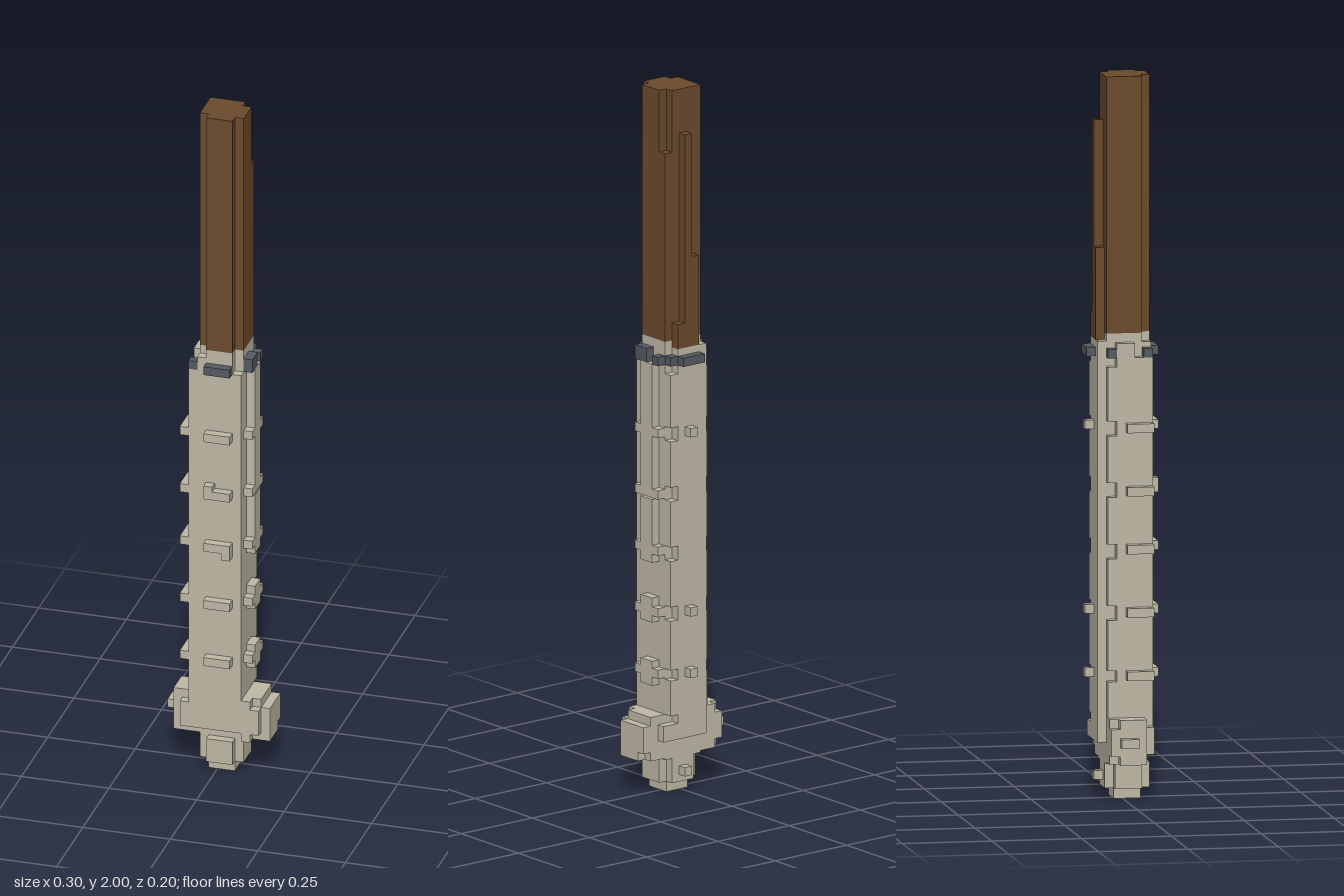
import * as THREE from 'three';

export function createModel() {
  const model = new THREE.Group();
  const mat = (name, color) => Object.assign(new THREE.MeshStandardMaterial({ color }), { name });
  const wood = mat('brown wood', 0x6b4a2d);
  const stone = mat('pale stone', 0xbfb8a6);
  const iron = mat('dark iron', 0x555a62);

  // block from its min and max on x, y and z
  const block = (name, m, x0, x1, y0, y1, z0, z1) => {
    const mesh = new THREE.Mesh(new THREE.BoxGeometry(x1 - x0, y1 - y0, z1 - z0), m);
    mesh.position.set((x0 + x1) / 2, (y0 + y1) / 2, (z0 + z1) / 2);
    mesh.name = name;
    model.add(mesh);
  };

  // wooden shaft with a front rib, a notched corner and uneven rear strips
  block('shaft', wood, -0.05, 0.05, 1.29, 2, -0.05, 0.05);
  block('shaftSide', wood, 0.05, 0.075, 1.29, 2, -0.025, 0.05);
  block('shaftCorner', wood, 0.05, 0.075, 1.29, 1.825, -0.05, -0.025);
  block('shaftFrontRib', wood, -0.025, 0.05, 1.29, 2, 0.05, 0.075);
  [[-0.025, 1.525], [0, 1.875], [0.025, 1.34]].forEach(([x, top]) =>
    block('shaftRearStrip', wood, x, x + 0.025, 1.27, top, -0.075, -0.05));

  // stone sleeve
  block('sleeveCore', stone, -0.05, 0.075, 0.1, 1.29, -0.05, 0.05);
  block('sleeveCollar', stone, -0.025, 0.05, 1.2, 1.29, 0.05, 0.075);
  block('sleeveFront', stone, -0.075, 0.075, 0.13, 1.225, 0.05, 0.075);
  block('sleeveFrontTop', stone, -0.05, 0.05, 1.225, 1.265, 0.05, 0.075);
  block('sleeveLeftFace', stone, -0.075, -0.05, 0.13, 1.225, -0.025, 0.05);
  block('sleeveLeftTop', stone, -0.075, -0.05, 1.225, 1.265, -0.025, 0.025);
  block('sleeveRear', stone, -0.05, 0.05, 0.16, 1.27, -0.075, -0.05);

  // broken corner strips and side ridge
  for (const [y0, y1] of [[0.23, 0.33], [0.36, 0.5], [0.54, 0.67], [0.71, 0.84], [0.88, 1.01], [1.05, 1.2]]) {
    block('cornerStrip', stone, -0.075, -0.05, y0, y1, -0.05, -0.025);
    block('cornerStrip', stone, 0.05, 0.075, y0, y1, -0.075, -0.05);
  }
  for (const [y0, y1] of [[0.31, 0.38], [0.49, 0.56], [0.66, 0.84], [0.87, 1.225]])
    block('sideRidge', stone, 0.075, 0.1, y0, y1, -0.025, 0.025);

  // rings of knobs up the sleeve
  [0.335, 0.51, 0.685, 0.845, 1.02].forEach((y, i) => {
    const t = y + 0.025;
    block('frontKnob', stone, -0.025, 0.05, y, t, 0.075, 0.1);
    block('sideKnob', stone, 0.075, 0.1, y, t, -0.05, 0.05);
    block('leftKnob', stone, -0.1, -0.075, y, t, 0, 0.075);
    if (i !== 2 && i !== 3) block('rearKnob', stone, 0, 0.025, y, t, -0.1, -0.075);
  });
  block('frontKnobStep', stone, 0.025, 0.05, 0.665, 0.685, 0.075, 0.1);
  block('frontKnobStep', stone, -0.025, 0, 0.87, 0.885, 0.075, 0.1);

  // iron band
  const y = 1.225, t = 1.25;
  block('ironBandFront', iron, -0.025, 0.05, y, t, 0.075, 0.1);
  block('ironBandRear', iron, -0.025, 0.05, y, t, -0.1, -0.075);
  block('ironStud', iron, 0.05, 0.075, y, t, -0.075, -0.05);
  block('ironStud', iron, 0.075, 0.1, y, t, -0.05, -0.025);
  block('ironStud', iron, 0.075, 0.1, y, 1.265, 0, 0.05);
  block('ironStud', iron, -0.075, -0.05, y, t, -0.05, -0.025);
  block('ironStud', iron, -0.075, -0.05, y, t, 0.05, 0.075);

  // side lobes near the foot
  block('rightLobe', stone, 0.075, 0.1, 0.105, 0.23, -0.05, 0.075);
  block('rightLobeRear', stone, 0.05, 0.1, 0.16, 0.205, -0.075, -0.05);
  block('rightLobeMiddle', stone, 0.1, 0.125, 0.105, 0.23, -0.05, 0.05);
  block('rightLobeFront', stone, 0.1, 0.125, 0.13, 0.205, 0.05, 0.075);
  block('rightLobeTip', stone, 0.125, 0.15, 0.105, 0.205, -0.025, 0.05);
  block('rightLobeTipRear', stone, 0.125, 0.15, 0.13, 0.205, -0.05, -0.025);
  block('leftLobe', stone, -0.1, -0.05, 0.105, 0.23, -0.05, 0.05);
  block('leftLobeFront', stone, -0.1, -0.05, 0.13, 0.205, 0.05, 0.075);
  block('leftLobeMiddle', stone, -0.125, -0.1, 0.105, 0.23, -0.025, 0.05);
  block('leftLobeRear', stone, -0.125, -0.1, 0.13, 0.205, -0.05, -0.025);
  block('leftLobeTip', stone, -0.15, -0.125, 0.155, 0.18, -0.025, 0.025);

  // stepped foot
  block('footUpper', stone, -0.05, 0.075, 0.03, 0.1, -0.025, 0.05);
  block('footRear', stone, -0.025, 0.05, 0.03, 0.1, -0.05, -0.025);
  block('footFront', stone, -0.025, 0.05, 0.03, 0.1, 0.05, 0.075);
  block('footRearKnob', stone, 0, 0.025, 0.05, 0.075, -0.075, -0.05);
  block('footTip', stone, -0.025, 0.05, 0, 0.03, -0.025, 0.05);

  return model;
}
